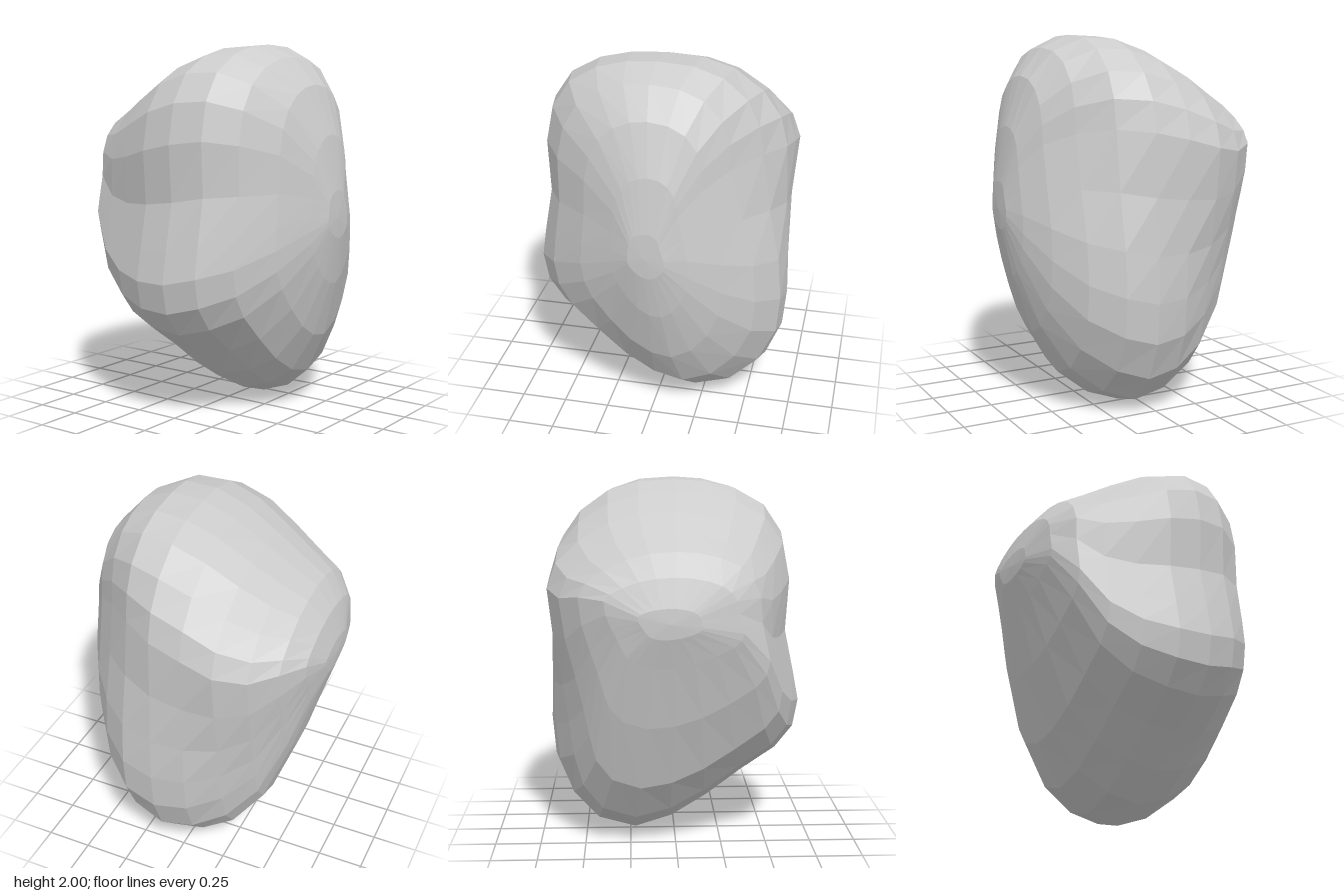
import * as THREE from 'three';

const { lerp, smoothstep } = THREE.MathUtils;

// Widest outline of the boulder, clockwise from the top, as seen from the front
const OUTLINE = [
  [0, 2], [0.2, 1.99], [0.37, 1.94], [0.53, 1.83], [0.64, 1.69], [0.685, 1.53], [0.685, 1.2],
  [0.69, 0.9], [0.69, 0.65], [0.67, 0.43], [0.59, 0.22], [0.44, 0.06], [0.23, 0], [0.02, 0.07],
  [-0.18, 0.2], [-0.37, 0.35], [-0.57, 0.49], [-0.67, 0.62], [-0.7, 0.78], [-0.67, 0.95],
  [-0.62, 1.2], [-0.64, 1.5], [-0.6, 1.71], [-0.5, 1.86], [-0.34, 1.95], [-0.17, 1.99],
];

// Cross-sections from front to back: z, left edge, right edge, bottom, top
const SECTIONS = [
  [0.7, 0.02, 0.02, 1.1, 1.1],
  [0.694, -0.07, 0.12, 0.98, 1.24],
  [0.647, -0.17, 0.23, 0.72, 1.53],
  [0.555, -0.36, 0.38, 0.41, 1.79],
  [0.426, -0.55, 0.53, 0.18, 1.935],
  [0.268, -0.66, 0.65, 0.06, 2],
  [0.091, -0.7, 0.69, 0, 1.99],
  [-0.091, -0.685, 0.68, 0.04, 1.925],
  [-0.268, -0.62, 0.645, 0.15, 1.83],
  [-0.426, -0.55, 0.57, 0.36, 1.73],
  [-0.555, -0.47, 0.48, 0.72, 1.65],
  [-0.647, -0.33, 0.36, 1.06, 1.53],
  [-0.694, -0.12, 0.2, 1.22, 1.38],
  [-0.7, 0.04, 0.04, 1.3, 1.3],
];

// On the +x side, hollow the upper front and lower back, and swell the lower front and upper back
function sideScale(u, v, z) {
  const side = Math.max(0, u) ** 2;
  const wave = side * v * (1 - v * v);
  const front = smoothstep(z, -0.05, 0.45) * wave * (v > 0 ? -0.5 : -0.25);
  const back = smoothstep(-z, 0, 0.4) * (0.3 * wave - 0.03 * side + 0.08 * Math.max(0, u * v));
  return 1 + front + back;
}

function boulderGeometry() {
  const positions = [];
  const index = [];
  const n = OUTLINE.length;

  // Fit the outline into each section, rounding it off toward both ends
  for (const [z, x0, x1, y0, y1] of SECTIONS) {
    const round = 0.6 * (z / 0.7) ** 2;
    for (const [x, y] of OUTLINE) {
      const u = x / 0.695;
      const v = y - 1;
      const k = lerp(1, 1 / Math.hypot(u, v), round);
      positions.push(
        (x0 + x1) / 2 + ((x1 - x0) / 2) * u * k * sideScale(u, v, z),
        (y0 + y1) / 2 + ((y1 - y0) / 2) * v * k,
        z,
      );
    }
  }

  // Join neighbouring sections; the first and last close to a point
  const last = SECTIONS.length - 2;
  for (let i = 0; i <= last; i++) {
    for (let j = 0; j < n; j++) {
      const a = i * n + j;
      const b = i * n + ((j + 1) % n);
      if (i > 0) index.push(a, b, a + n);
      if (i < last) index.push(b, b + n, a + n);
    }
  }

  const indexed = new THREE.BufferGeometry();
  indexed.setAttribute('position', new THREE.Float32BufferAttribute(positions, 3));
  indexed.setIndex(index);
  const geometry = indexed.toNonIndexed();
  geometry.computeVertexNormals();
  return geometry;
}

export function createModel() {
  const stone = new THREE.MeshStandardMaterial({ color: 0xcccccc, flatShading: true });
  stone.name = 'light grey stone';

  const boulder = new THREE.Mesh(boulderGeometry(), stone);
  boulder.name = 'boulder';

  const group = new THREE.Group();
  group.name = 'rock';
  group.add(boulder);
  return group;
}
